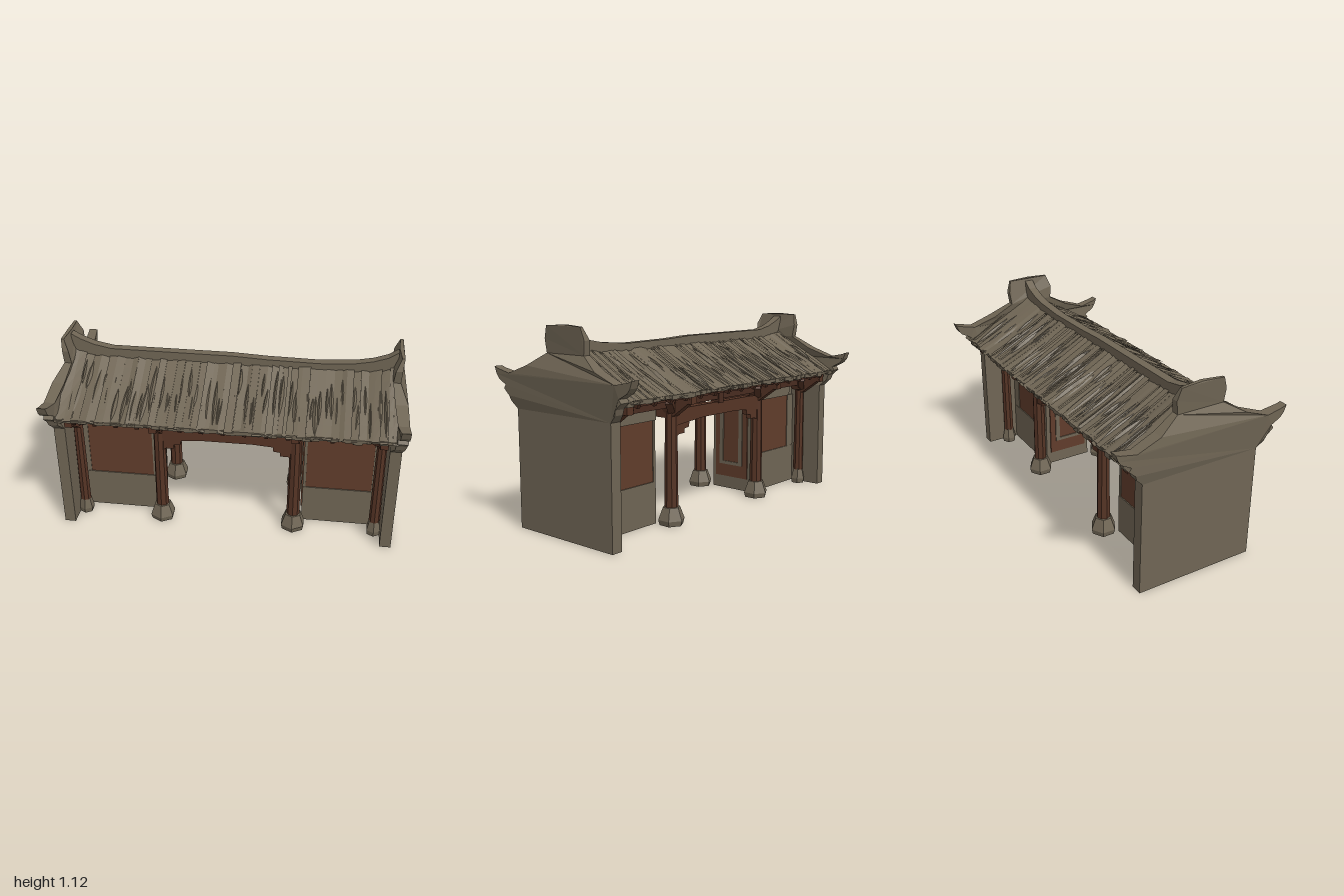
import * as THREE from 'three';
import { mergeGeometries } from 'three/addons/utils/BufferGeometryUtils.js';

const mat = (name, color) => new THREE.MeshStandardMaterial({ name, color, flatShading: true, side: THREE.DoubleSide });

// Piecewise linear lookup through [input, output] pairs
function lerpTable(table, v) {
  for (let i = 1; i < table.length; i++) {
    const [a, p] = table[i - 1], [b, q] = table[i];
    if (v <= b) return p + (q - p) * Math.max(0, (v - a) / (b - a));
  }
  return table[table.length - 1][1];
}

let seed = 7;
const rand = (a = 0, b = 1) => {
  seed = (seed * 16807) % 2147483647;
  return a + (b - a) * seed / 2147483647;
};

// Roof slope height: sagging toward the eave, sweeping up near the ridge ends
const slope = [[0, 0.985], [0.15, 0.9], [0.28, 0.832], [0.44, 0.757]];
const roofY = (x, z) => lerpTable(slope, z) + 0.04 * (1 - z / 0.45) * Math.max(0, (Math.abs(x) - 0.72) / 0.2) ** 2;

export function createModel() {
  const model = new THREE.Group();
  const stone = mat('weathered stone', 0x6f6554);
  const timber = mat('timber', 0x553425);
  const darkTimber = mat('dark timber', 0x492c20);
  const panelWood = mat('panel wood', 0x603c2b);

  const add = (parent, name, geometry, material) => {
    const mesh = new THREE.Mesh(geometry, material);
    mesh.name = name;
    parent.add(mesh);
    return mesh;
  };
  // Box given by its two extreme corners
  const box = (parent, name, a, b, material) => {
    const m = add(parent, name, new THREE.BoxGeometry(b[0] - a[0], b[1] - a[1], b[2] - a[2]), material);
    m.position.set((a[0] + b[0]) / 2, (a[1] + b[1]) / 2, (a[2] + b[2]) / 2);
    return m;
  };
  // Square strut running between two points
  const strut = (parent, name, a, b, w, h, material) => {
    const p = new THREE.Vector3(...a), q = new THREE.Vector3(...b);
    const m = add(parent, name, new THREE.BoxGeometry(w, h, p.distanceTo(q)), material);
    m.position.copy(p).add(q).multiplyScalar(0.5);
    m.quaternion.setFromRotationMatrix(new THREE.Matrix4().lookAt(q, p, m.up));
  };
  // Outline in x and y, extruded from z0 to z1
  const cutout = (parent, name, pts, z0, z1, material) => {
    const shape = new THREE.Shape(pts.map(p => new THREE.Vector2(...p)));
    const g = new THREE.ExtrudeGeometry(shape, { depth: z1 - z0, bevelEnabled: false });
    add(parent, name, g.translate(0, 0, z0), material);
  };

  // Gable walls in stacked tiers: wall, flared eave wings, shoulders and crest
  const tiers = {
    gableWall: [[0.355, 0], [0.355, 0.66]],
    gableWings: [[0.355, 0.66], [0.395, 0.7], [0.405, 0.73], [0.445, 0.765], [0.43, 0.785], [0.485, 0.815],
      [0.505, 0.84], [0.52, 0.88], [0.495, 0.87], [0.4, 0.85]],
    gableShoulders: [[0.4, 0.85], [0.26, 0.9], [0.14, 0.97]],
    gableCrest: [[0.14, 0.97], [0.15, 1.045], [0.128, 1.113], [0, 1.12]],
  };
  const outerX = [[0, 0.98], [0.66, 0.98], [0.73, 0.998], [0.88, 1], [0.92, 0.985], [0.97, 0.95], [1.03, 0.95], [1.1, 0.966], [1.12, 0.957]];
  const crestX = [[0.66, 0], [1.03, 0], [1.12, 0.04]];
  for (const turn of [0, Math.PI]) {
    for (const [name, half] of Object.entries(tiers)) {
      const outline = [...half, ...half.filter(p => p[0] > 0).map(([z, y]) => [-z, y]).reverse()];
      const shape = new THREE.Shape(outline.map(p => new THREE.Vector2(...p)));
      const g = new THREE.ExtrudeGeometry(shape, { depth: 1, bevelEnabled: false }).rotateY(Math.PI / 2);
      const pos = g.attributes.position;
      for (let i = 0; i < pos.count; i++) {
        const y = pos.getY(i), z = Math.abs(pos.getZ(i));
        const inner = y < 0.67 ? 0.915 : 0.893 + 0.11 * z + lerpTable(crestX, y);
        pos.setX(i, pos.getX(i) > 0.5 ? lerpTable(outerX, y) : inner);
      }
      add(model, name, g, stone).rotation.y = turn;
    }
  }

  // Ridge with upswept ends
  cutout(model, 'ridge', [[-0.93, 0.94], [0.93, 0.94], [0.935, 1.1], [0.88, 1.063], [0.8, 1.035], [0.7, 1.016],
    [0.5, 1.003], [0.2, 1.008], [0, 1.018], [-0.7, 1.02], [-0.8, 1.04], [-0.88, 1.07], [-0.935, 1.1]], -0.026, 0.026, stone);

  // Sheet lying on the slope, shaped by a height offset h(u, v)
  const sheet = (x0, x1, z0, z1, nx, nz, h) => {
    const g = new THREE.PlaneGeometry(1, 1, nx, nz), pos = g.attributes.position;
    for (let i = 0; i < pos.count; i++) {
      const u = pos.getX(i) + 0.5, v = pos.getY(i) + 0.5;
      const x = x0 + (x1 - x0) * u, z = z1 + (z0 - z1) * v;
      pos.setXYZ(i, x, roofY(x, z) + h(u, v), z);
    }
    return g;
  };

  // Front and back are the same half turned around
  for (const turn of [0, Math.PI]) {
    const side = new THREE.Group();
    side.name = turn ? 'backHalf' : 'frontHalf';
    side.rotation.y = turn;
    model.add(side);

    // Roof boarding and uneven tile strips with ragged eaves
    add(side, 'roofUnderside', sheet(-0.945, 0.945, 0, 0.415, 24, 6, () => -0.028), darkTimber);
    const tiles = [sheet(-0.945, 0.945, 0, 0.42, 24, 6, () => -0.014)];
    for (let x = -0.95; x < 0.95;) {
      const x1 = Math.min(0.95, x + rand(0.02, 0.05));
      const l = rand(-0.009, 0.008), r = rand(-0.009, 0.008);
      tiles.push(sheet(x, x1, 0, rand(0.425, 0.445), 1, 5, u => l + (r - l) * u));
      x = x1;
    }
    // Lens-shaped broken tile edges
    for (let i = 0; i < 60; i++) {
      const x = -0.9 + 0.03 * (i + rand()), z0 = rand(0.04, 0.22), z1 = Math.min(0.43, z0 + rand(0.14, 0.3));
      const w = rand(0.014, 0.034), lean = rand(-0.015, 0.015), high = rand(0.008, 0.02);
      const g = sheet(x - w / 2, x + w / 2, z0, z1, 2, 4, (u, v) => Math.sin(Math.PI * v) * (u === 0.5 ? high : 0) - 0.004);
      const pos = g.attributes.position;
      for (let k = 0; k < pos.count; k++) {
        const v = (pos.getZ(k) - z0) / (z1 - z0);
        pos.setX(k, x + (pos.getX(k) - x) * Math.sin(Math.PI * v) + lean * (v - 0.5));
      }
      tiles.push(g);
    }
    add(side, 'roofTiles', mergeGeometries(tiles), stone);
    // Eave lip
    for (let i = 0; i < 41; i++) {
      const x = -0.943 + i * 0.046;
      box(side, 'eaveTileEnd', [x, 0.742 + rand(-0.006, 0.006), 0.405], [x + 0.046, 0.765, rand(0.424, 0.436)], stone);
    }

    // Long beams
    box(side, 'eaveBeam', [-0.95, 0.72, 0.33], [0.95, 0.75, 0.365], darkTimber);
    box(side, 'wallBeam', [-0.92, 0.662, 0.2], [0.92, 0.725, 0.25], darkTimber);
    box(side, 'purlin', [-0.92, 0.8, 0.2], [0.92, 0.835, 0.24], darkTimber);
    cutout(side, 'archedLintel', [[-0.38, 0.555], [-0.32, 0.562], [-0.15, 0.575], [0.15, 0.575], [0.32, 0.562], [0.38, 0.555],
      [0.38, 0.64], [0.3, 0.647], [-0.3, 0.647], [-0.38, 0.64]], 0.205, 0.25, timber);
    box(side, 'lintelPost', [-0.02, 0.64, 0.2], [0.02, 0.73, 0.26], darkTimber);

    for (const s of [-1, 1]) {
      for (const [cx, r, baseR] of [[0.397, 0.037, 0.077], [0.88, 0.031, 0.047]]) {
        const x = s * cx;
        // Column on a faceted stone foot
        const foot = add(side, 'columnFoot', new THREE.LatheGeometry(
          [[0, 0], [0.9, 0], [1, 0.03], [0.65, 0.1], [0, 0.105]].map(([a, y]) => new THREE.Vector2(a * baseR, y)), 6), stone);
        foot.position.set(x, 0, 0.225);
        const column = add(side, 'column', new THREE.CylinderGeometry(r * 0.9, r * 1.05, 0.6, 8), timber);
        column.position.set(x, 0.39, 0.225);
        // Flared capital and eave brackets
        const capital = add(side, 'capital', new THREE.CylinderGeometry(0.085, 0.04, 0.09, 4, 1, false, Math.PI / 4), timber);
        capital.position.set(x - (cx > 0.5 ? s * 0.02 : 0), 0.675, 0.225);
        strut(side, 'eaveBracket', [x, 0.63, 0.24], [x, 0.725, 0.37], 0.045, 0.05, timber);
        box(side, 'bracketArm', [x - 0.022, 0.69, 0.2], [x + 0.022, 0.735, 0.39], timber);
        for (const d of [-1, 1]) {
          if (cx > 0.5 && d === s) continue;
          strut(side, 'sideBracket', [x, 0.63, 0.235], [x + d * 0.1, 0.71, 0.3], 0.04, 0.035, timber);
        }
      }
      // Stepped bracket under the lintel
      cutout(side, 'steppedBracket', [[0.38, 0.49], [0.355, 0.505], [0.31, 0.505], [0.31, 0.53], [0.27, 0.535], [0.265, 0.575], [0.38, 0.575]]
        .map(([x, y]) => [s * x, y]), 0.21, 0.245, timber);

      // Wall face: dado, top rail, edge strips and timber panel, with boarding above
      const face = (name, x0, x1, y0, y1, z0, z1, material) =>
        box(side, name, [Math.min(s * x0, s * x1), y0, z0], [Math.max(s * x0, s * x1), y1, z1], material);
      face('wallDado', 0.445, 0.92, 0, 0.24, 0.139, 0.152, stone);
      face('wallTopRail', 0.445, 0.86, 0.585, 0.65, 0.139, 0.158, stone);
      face('wallEdge', 0.445, 0.462, 0.24, 0.585, 0.139, 0.15, stone);
      face('wallEdge', 0.85, 0.92, 0.24, 0.585, 0.139, 0.15, stone);
      face('wallPanel', 0.462, 0.85, 0.24, 0.585, 0.1405, 0.146, panelWood);
      face('upperBoarding', 0.4, 0.945, 0.652, 0.85, 0.125, 0.139, darkTimber);
    }
    // Rafters under the eave
    for (let i = 0; i < 15; i++) {
      const x = -0.84 + i * 0.12;
      strut(side, 'rafter', [x, roofY(x, 0.05) - 0.05, 0.05], [x, roofY(x, 0.41) - 0.042, 0.41], 0.022, 0.024, darkTimber);
    }
  }

  for (const s of [-1, 1]) {
    const span = (name, x0, x1, y0, y1, z, material) =>
      box(model, name, [Math.min(s * x0, s * x1), y0, -z], [Math.max(s * x0, s * x1), y1, z], material);
    // Side room, hollow and open underneath (the index skips the bottom face)
    const room = span('sideRoom', 0.445, 0.92, 0, 0.65, 0.14, stone).geometry;
    const faces = [...room.index.array];
    room.setIndex([...faces.slice(0, 18), ...faces.slice(24)]);
    room.clearGroups();
    // Framed panel facing the passage
    span('passagePanel', 0.437, 0.4445, 0.08, 0.63, 0.125, panelWood);
    for (const z of [-0.075, 0.075]) {
      box(model, 'passageStrip', [s * 0.434 - 0.003, 0.16, z - 0.014], [s * 0.434 + 0.003, 0.55, z + 0.014], stone);
    }
    for (const y of [0.16, 0.53]) span('passageRail', 0.431, 0.437, y, y + 0.02, 0.075, stone);
    // Cross beams tying front to back
    span('crossBeam', 0.375, 0.425, 0.6, 0.67, 0.23, timber);
    span('upperCrossBeam', 0.13, 0.165, 0.67, 0.71, 0.23, darkTimber);
    span('endCrossBeam', 0.87, 0.915, 0.655, 0.7, 0.23, timber);
    span('kingPost', 0.385, 0.415, 0.66, 0.95, 0.02, timber);
  }
  box(model, 'ceilingBeam', [-0.4, 0.675, -0.02], [0.4, 0.71, 0.02], darkTimber);
  return model;
}
